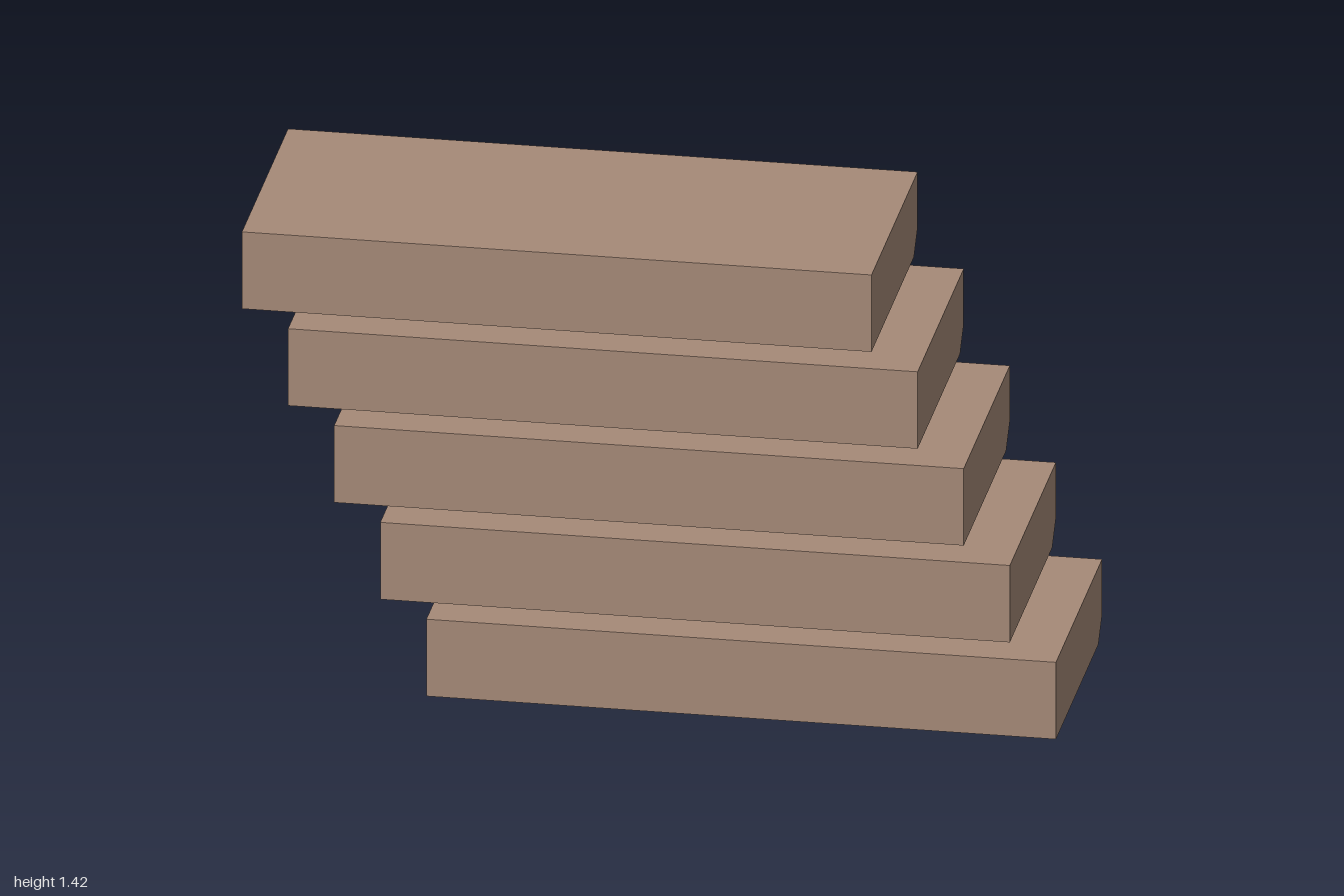
import * as THREE from 'three';
import { toCreasedNormals } from 'three/addons/utils/BufferGeometryUtils.js';

const STEPS = 5, WIDTH = 0.956, DEPTH = 0.4, THICK = 0.125, RISE = 0.325;

// Side profile of one tread (z across, y up) with a bevelled lower back edge
function treadGeometry() {
  const h = DEPTH / 2;
  const profile = new THREE.Shape([
    [-h + 0.032, 0], [h, 0], [h, THICK], [-h, THICK], [-h, 0.035],
  ].map(([z, y]) => new THREE.Vector2(z, y)));
  const geometry = new THREE.ExtrudeGeometry(profile, { depth: WIDTH, bevelEnabled: false });
  geometry.translate(0, 0, -WIDTH / 2);
  geometry.rotateY(-Math.PI / 2);
  // Soft shading over the bevel, sharp edges elsewhere
  return toCreasedNormals(geometry, 1.0);
}

export function createModel() {
  const staircase = new THREE.Group();
  staircase.name = 'floatingStaircase';

  const wood = new THREE.MeshStandardMaterial({ color: 0xa68a78 });
  wood.name = 'brown wood';

  // Treads climb from the back to the front
  const geometry = treadGeometry();
  for (let i = 0; i < STEPS; i++) {
    const tread = new THREE.Mesh(geometry, wood);
    tread.name = `tread${i + 1}`;
    tread.position.set(0, i * RISE, (i - (STEPS - 1) / 2) * DEPTH);
    staircase.add(tread);
  }
  return staircase;
}
